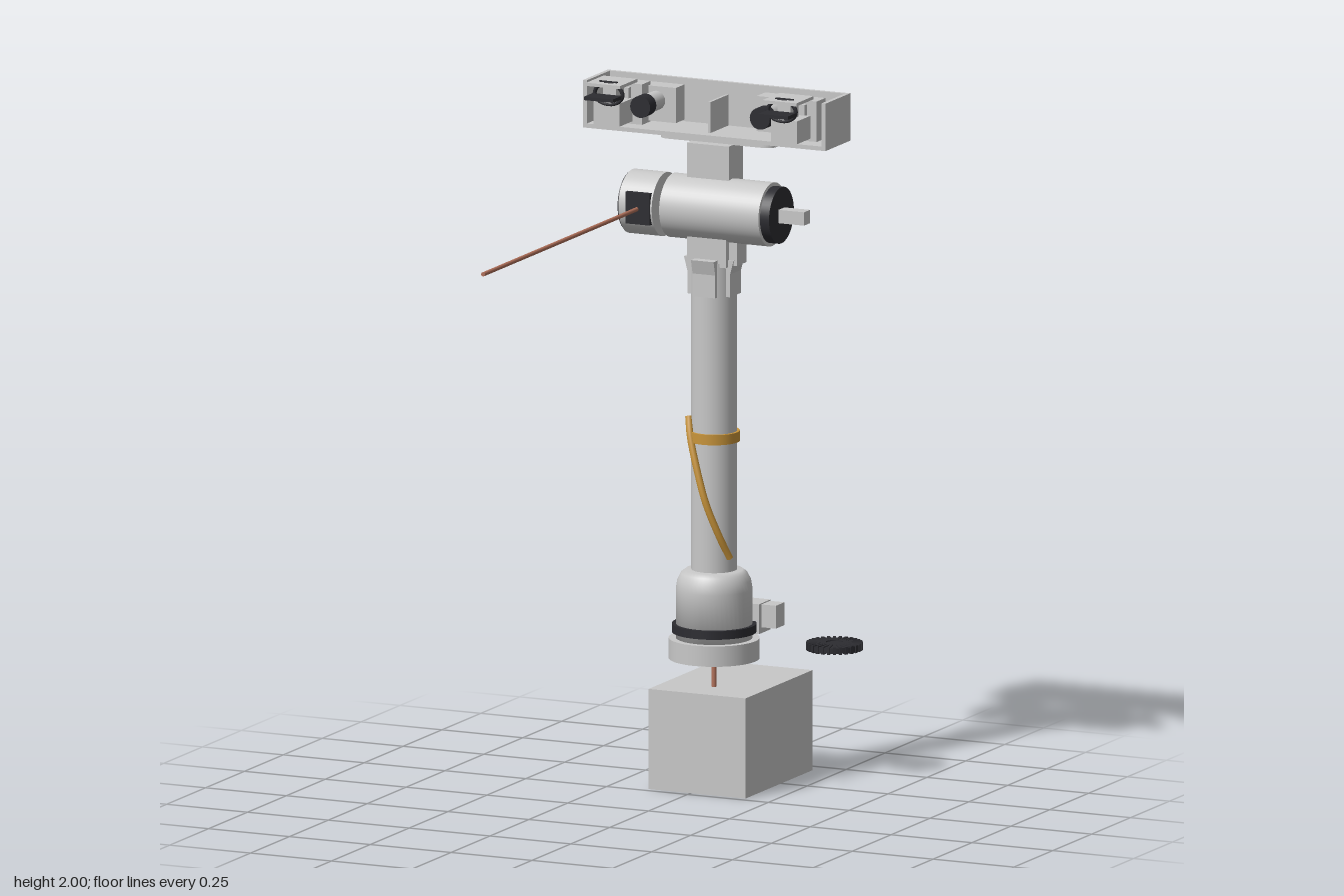
import * as THREE from 'three';

const mat = (name, color) => {
  const m = new THREE.MeshStandardMaterial({ color });
  m.name = name;
  return m;
};

export function createModel() {
  const grey = mat('light grey', 0xc8c8c8);
  const dark = mat('charcoal', 0x2c2c31);
  const amber = mat('amber', 0xc8943a);
  const copper = mat('copper', 0xb0705a);
  const model = new THREE.Group();
  const MX = 0.02, MZ = -0.38; // mast axis
  const AY = 1.645;            // height of the crosswise drum axis

  const add = (name, geo, material, x = 0, y = 0, z = 0, parent = model) => {
    const mesh = new THREE.Mesh(geo, material);
    mesh.name = name;
    mesh.position.set(x, y, z);
    parent.add(mesh);
    return mesh;
  };
  // box given by its limits on each axis
  const box = (name, material, x0, x1, y0, y1, z0, z1, parent = model) =>
    add(name, new THREE.BoxGeometry(x1 - x0, y1 - y0, z1 - z0), material,
      (x0 + x1) / 2, (y0 + y1) / 2, (z0 + z1) / 2, parent);
  // upright cylinder on the mast axis
  const post = (name, material, r, y0, y1) =>
    add(name, new THREE.CylinderGeometry(r, r, y1 - y0, 48), material, MX, (y0 + y1) / 2, MZ);
  // cylinder along x on the drum axis
  const drum = (name, material, r, x0, x1) => {
    const geo = new THREE.CylinderGeometry(r, r, x1 - x0, 48).rotateZ(Math.PI / 2);
    return add(name, geo, material, (x0 + x1) / 2, AY, MZ);
  };
  // cylinder along z
  const barrel = (name, material, r, x, y, z0, z1, parent) =>
    add(name, new THREE.CylinderGeometry(r, r, z1 - z0, 24).rotateX(Math.PI / 2), material,
      x, y, (z0 + z1) / 2, parent);

  // Footing block and the wire that joins it to the mast
  box('footingBlock', grey, -0.13, 0.17, 0, 0.285, -0.7, -0.27);
  post('footingWire', copper, 0.007, 0.28, 0.38);

  // Mast base
  post('baseFlange', grey, 0.127, 0.367, 0.425);
  const bell = [[0, 0.42], [0.107, 0.42], [0.107, 0.565], [0.103, 0.59], [0.093, 0.61], [0.08, 0.62], [0, 0.622]];
  add('baseBell', new THREE.LatheGeometry(bell.map(p => new THREE.Vector2(...p)), 48), grey, MX, 0, MZ);
  post('baseBand', dark, 0.118, 0.442, 0.466);
  box('rearHousing', grey, -0.09, 0.125, 0.43, 0.515, -0.525, -0.45);
  box('rearConnector', grey, 0.12, 0.17, 0.447, 0.512, -0.52, -0.465);

  // Loose ribbed disc beside the base
  const disc = new THREE.Group();
  disc.name = 'ribbedDisc';
  disc.position.set(0.28, 0.381, -0.613);
  model.add(disc);
  add('discCore', new THREE.CylinderGeometry(0.076, 0.076, 0.016, 40), dark, 0, 0, 0, disc);
  for (let i = 0; i < 28; i++) {
    const rib = add('discRib', new THREE.BoxGeometry(0.055, 0.022, 0.008).translate(0.0515, 0, 0), dark, 0, 0, 0, disc);
    rib.rotation.y = i * Math.PI / 14;
  }

  // Mast tube, clamp and trailing cable
  post('mastTube', grey, 0.064, 0.61, 1.5);
  post('mastClamp', amber, 0.072, 0.986, 1.015);
  const path = [[-0.042, 1.055, -0.345], [-0.027, 1, -0.325], [0.005, 0.9, -0.308],
    [0.03, 0.82, -0.306], [0.06, 0.73, -0.325], [0.08, 0.66, -0.355]];
  const curve = new THREE.CatmullRomCurve3(path.map(p => new THREE.Vector3(...p)));
  add('mastCable', new THREE.TubeGeometry(curve, 40, 0.01, 10), amber);

  // Four flared brackets around the mast head
  const flare = new THREE.Shape();
  flare.moveTo(0.045, 1.405);
  flare.lineTo(0.066, 1.405);
  flare.lineTo(0.066, 1.47);
  flare.lineTo(0.077, 1.51);
  flare.lineTo(0.045, 1.51);
  const flareGeo = new THREE.ExtrudeGeometry(flare, { depth: 0.07, bevelEnabled: false }).translate(0, 0, -0.035);
  for (let i = 0; i < 4; i++) {
    add('headBracket', flareGeo, grey, MX, 0, MZ).rotation.y = i * Math.PI / 2;
  }
  box('headBlock', grey, -0.04, 0.08, 1.49, 1.6, -0.43, -0.33);
  box('headLug', grey, 0.075, 0.105, 1.495, 1.58, -0.41, -0.35);

  // Crosswise drum with capped ends and square shaft
  drum('drumBody', grey, 0.09, -0.107, 0.2);
  drum('drumEndCap', dark, 0.08, 0.2, 0.228);
  box('drumShaft', grey, 0.22, 0.307, AY - 0.019, AY + 0.019, MZ - 0.019, MZ + 0.019);
  drum('drumLink', dark, 0.012, -0.135, -0.1);
  drum('sensorHead', grey, 0.09, -0.233, -0.13);
  drum('sensorEndCap', dark, 0.085, -0.238, -0.232);
  box('sensorWindow', dark, -0.21, -0.135, 1.6, 1.69, -0.32, -0.287);
  barrel('sensorBeam', copper, 0.006, -0.175, AY - 0.002, -0.3, 0.7);

  // Neck and rounded carrier plate
  box('neck', grey, -0.055, 0.075, 1.72, 1.83, -0.45, -0.36);
  const plate = new THREE.Shape();
  plate.absarc(0.165, 0, 0.03, -Math.PI / 2, Math.PI / 2);
  plate.absarc(-0.13, 0, 0.03, Math.PI / 2, Math.PI * 1.5);
  const plateGeo = new THREE.ExtrudeGeometry(plate, { depth: 0.018, bevelEnabled: false }).rotateX(-Math.PI / 2);
  add('carrierPlate', plateGeo, grey, 0, 1.829, -0.42);

  // Tray, open at the front and top
  box('trayFloor', grey, -0.375, 0.375, 1.845, 1.857, -0.517, -0.357);
  box('trayBack', grey, -0.375, 0.375, 1.845, 1.98, -0.517, -0.505);
  box('trayDivider', grey, -0.004, 0.004, 1.85, 1.945, -0.51, -0.39);
  for (const s of [-1, 1]) {
    add('traySide', new THREE.BoxGeometry(0.012, 0.135, 0.16), grey, s * 0.369, 1.9125, -0.437);
  }

  // A pair of mirrored camera sets
  for (const s of [-1, 1]) {
    const set = new THREE.Group();
    set.name = s < 0 ? 'rightCameras' : 'leftCameras';
    model.add(set);
    const part = (name, m, x0, x1, ...rest) =>
      s > 0 ? box(name, m, x0, x1, ...rest, set) : box(name, m, -x1, -x0, ...rest, set);

    // inner camera
    part('innerMount', grey, 0.125, 0.24, 1.865, 1.965, -0.49, -0.435);
    barrel('innerBarrel', grey, 0.027, s * 0.185, 1.925, -0.44, -0.36, set);
    barrel('innerLens', dark, 0.031, s * 0.185, 1.925, -0.37, -0.33, set);

    // outer camera with its hood
    part('outerMount', grey, 0.21, 0.33, 1.86, 1.975, -0.45, -0.395);
    part('outerStem', grey, 0.245, 0.3, 1.87, 1.965, -0.4, -0.38);
    part('outerBody', grey, 0.235, 0.315, 1.87, 1.935, -0.385, -0.3);
    part('outerRoof', grey, 0.22, 0.325, 1.983, 1.992, -0.385, -0.275);
    part('outerSlot', dark, 0.245, 0.3, 1.99, 1.995, -0.312, -0.304);
    part('outerPost', grey, 0.25, 0.29, 1.93, 1.985, -0.36, -0.31);
    part('outerVisor', dark, 0.225, 0.315, 1.95, 1.96, -0.295, -0.24);
    const ring = add('outerRing', new THREE.TorusGeometry(0.043, 0.006, 8, 32), dark, s * 0.268, 1.96, -0.3, set);
    ring.scale.y = 0.7;
  }
  return model;
}
